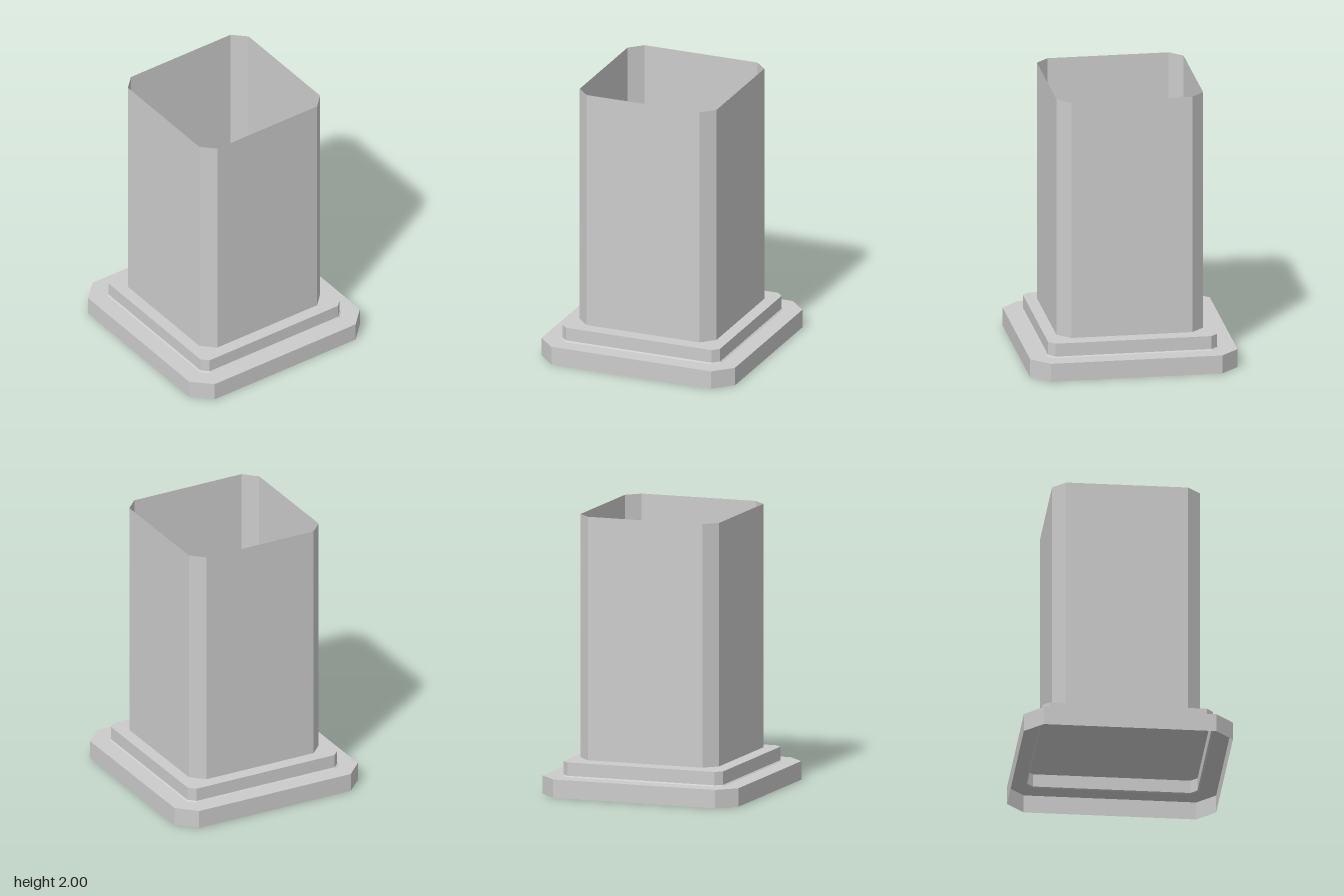
import * as THREE from 'three';

const material = new THREE.MeshStandardMaterial({
  color: 0xcccccc, flatShading: true, side: THREE.DoubleSide,
});

// Square with cut corners: half = half width, flat = half length of the straight side
function ring(half, flat, y) {
  const corners = [[flat, half], [half, flat], [half, -flat], [flat, -half],
    [-flat, -half], [-half, -flat], [-half, flat], [-flat, half]];
  return corners.map(([x, z]) => [x, y, z]);
}

// Thin shell through stacked rings, optionally closed at the last one
function shell(name, sections, capped) {
  const rings = sections.map((s) => ring(...s));
  const pos = [];
  const tri = (...points) => points.forEach((p) => pos.push(...p));
  for (let r = 0; r < rings.length - 1; r++) {
    for (let i = 0; i < 8; i++) {
      const j = (i + 1) % 8;
      const a = rings[r][i], b = rings[r][j], c = rings[r + 1][j], d = rings[r + 1][i];
      tri(a, c, b);
      tri(a, d, c);
    }
  }
  if (capped) {
    const top = rings[rings.length - 1];
    for (let i = 1; i < 7; i++) tri(top[0], top[i + 1], top[i]);
  }
  // corners run clockwise seen from above, so flip every face outwards
  for (let t = 0; t < pos.length; t += 9) {
    for (let k = 0; k < 3; k++) {
      [pos[t + 3 + k], pos[t + 6 + k]] = [pos[t + 6 + k], pos[t + 3 + k]];
    }
  }
  if (capped) {
    // the cap already faces up after the ring order is reversed
  }
  const geometry = new THREE.BufferGeometry();
  geometry.setAttribute('position', new THREE.Float32BufferAttribute(pos, 3));
  geometry.computeVertexNormals();
  const mesh = new THREE.Mesh(geometry, material);
  mesh.name = name;
  return mesh;
}

export function createModel() {
  const model = new THREE.Group();
  model.name = 'pedestal';

  // Two-step plinth, hollow underneath, with a small lip at the foot of the upper step
  model.add(shell('plinth', [
    [0.745, 0.615, 0],
    [0.745, 0.615, 0.133],
    [0.617, 0.565, 0.133],
    [0.607, 0.56, 0.141],
    [0.607, 0.56, 0.237],
  ], true));

  // Open-ended shaft, set just above the plinth
  model.add(shell('shaft', [
    [0.527, 0.435, 0.248],
    [0.527, 0.435, 2],
  ], false));

  return model;
}
